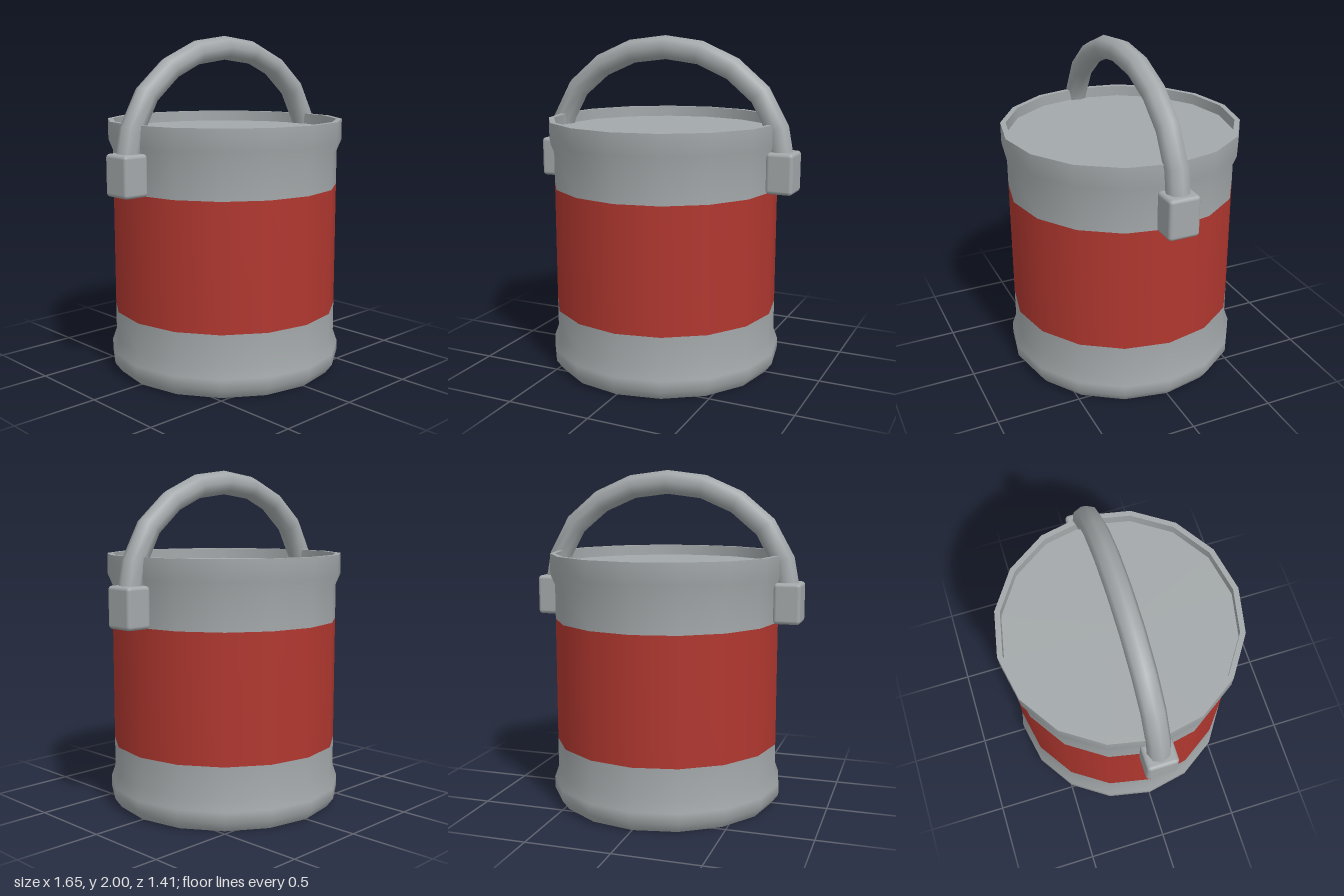
import * as THREE from 'three';
import { RoundedBoxGeometry } from 'three/addons/geometries/RoundedBoxGeometry.js';

const SIDES = 16;

export function createModel() {
  const grey = new THREE.MeshStandardMaterial({ color: 0xa3a8aa });
  grey.name = 'grey metal';
  const red = new THREE.MeshStandardMaterial({ color: 0xb0372f });
  red.name = 'red label';

  const model = new THREE.Group();
  model.name = 'paintCan';

  const add = (name, geometry, material, parent = model) => {
    const mesh = new THREE.Mesh(geometry, material);
    mesh.name = name;
    parent.add(mesh);
    return mesh;
  };
  // Profile of [radius, height] pairs turned around the y axis
  const turn = (name, profile, material) =>
    add(name, new THREE.LatheGeometry(profile.map(([r, y]) => new THREE.Vector2(r, y)), SIDES), material);

  // Can body: swollen foot, red band, flared collar
  turn('lowerBody', [[0.665, 0], [0.705, 0.055], [0.705, 0.12], [0.68, 0.19], [0.68, 0.37]], grey);
  turn('labelBand', [[0.68, 0.37], [0.68, 1.115]], red);
  turn('upperBody', [[0.68, 1.115], [0.68, 1.32], [0.707, 1.385], [0.707, 1.51]], grey);

  // Rim and its inner wall, separate so the edges stay sharp
  turn('rim', [[0.707, 1.51], [0.675, 1.51]], grey);
  turn('rimInside', [[0.675, 1.51], [0.675, 1.445]], grey);

  // Recessed lid and base
  const lid = add('lid', new THREE.CircleGeometry(0.675, SIDES), grey);
  lid.rotation.x = -Math.PI / 2;
  lid.position.y = 1.445;
  const base = add('base', new THREE.CircleGeometry(0.665, SIDES), grey);
  base.rotation.x = Math.PI / 2;

  // Arched carrying handle
  const half = [[0.745, 1.26], [0.705, 1.475], [0.61, 1.655], [0.44, 1.805], [0.23, 1.9]];
  const points = [
    ...half.map(([x, y]) => new THREE.Vector3(-x, y, 0)),
    new THREE.Vector3(0, 1.93, 0),
    ...half.slice().reverse().map(([x, y]) => new THREE.Vector3(x, y, 0)),
  ];
  add('handle', new THREE.TubeGeometry(new THREE.CatmullRomCurve3(points), 10, 0.07, 8), grey);

  // Blocks holding the handle ends
  for (const side of [-1, 1]) {
    const block = add(side > 0 ? 'leftHandleMount' : 'rightHandleMount',
      new RoundedBoxGeometry(0.16, 0.24, 0.186, 2, 0.022), grey);
    block.position.set(side * 0.744, 1.235, 0);
  }

  return model;
}
